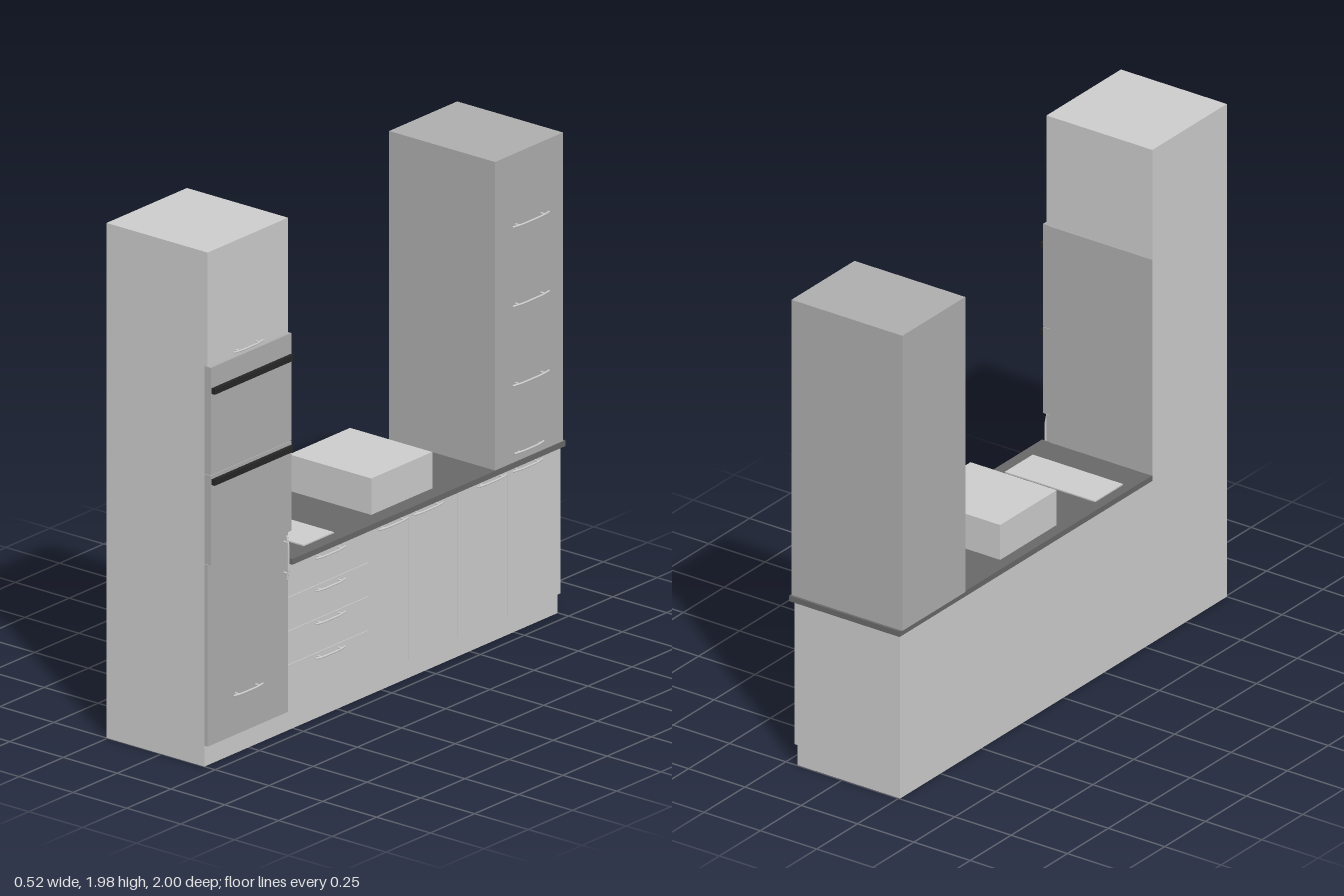
import * as THREE from 'three';

export function createModel() {
  const kitchen = new THREE.Group();
  kitchen.name = 'kitchenUnit';

  const mat = (color) => new THREE.MeshStandardMaterial({ color });
  const light = mat(0xcccccc);
  const mid = mat(0xadadad);
  const dark = mat(0x686868);
  const black = mat(0x262626);

  // Box given by its extents on each axis
  function box(name, [x0, x1], [y0, y1], [z0, z1], material = light, parent = kitchen) {
    const mesh = new THREE.Mesh(new THREE.BoxGeometry(x1 - x0, y1 - y0, z1 - z0), material);
    mesh.position.set((x0 + x1) / 2, (y0 + y1) / 2, (z0 + z1) / 2);
    mesh.name = name;
    parent.add(mesh);
    return mesh;
  }

  // Bow handle: a slightly curved bar on two posts, mounted on a front facing +x
  function handle(name, x, y, z, length = 0.16, vertical = false) {
    const group = new THREE.Group();
    group.name = name;
    const h = length / 2;
    const path = new THREE.CatmullRomCurve3([
      new THREE.Vector3(0.014, 0, -h),
      new THREE.Vector3(0.02, 0, -h * 0.6),
      new THREE.Vector3(0.021, 0, 0),
      new THREE.Vector3(0.02, 0, h * 0.6),
      new THREE.Vector3(0.014, 0, h),
    ]);
    const bar = new THREE.Mesh(new THREE.TubeGeometry(path, 12, 0.004, 8), light);
    bar.name = 'handleBar';
    group.add(bar);
    for (const s of [-1, 1]) {
      const post = new THREE.Mesh(new THREE.CylinderGeometry(0.004, 0.004, 0.02, 8), light);
      post.name = 'handlePost';
      post.rotation.z = Math.PI / 2;
      post.position.set(0.01, 0, s * h * 0.72);
      group.add(post);
      const tip = new THREE.Mesh(new THREE.SphereGeometry(0.004, 8, 6), light);
      tip.name = 'handleTip';
      tip.position.set(0.014, 0, s * h);
      group.add(tip);
    }
    if (vertical) group.rotation.x = Math.PI / 2;
    group.position.set(x, y, z);
    kitchen.add(group);
  }

  const back = -0.255, carcass = 0.2, front = 0.215, gap = 0.001;

  // Plinth and base cabinets
  box('plinth', [back, carcass], [0, 0.08], [-0.997, 1]);
  box('baseCarcass', [back, carcass], [0.08, 0.65], [-0.997, 0.545]);
  box('worktop', [back, 0.235], [0.65, 0.672], [-1, 0.545], dark);

  // Drawer stack
  const drawerEdges = [0.08, 0.26, 0.39, 0.52, 0.65];
  const drawerHandles = [0.245, 0.378, 0.505, 0.63];
  drawerHandles.forEach((y, i) => {
    box('drawerFront', [carcass, front], [drawerEdges[i] + gap, drawerEdges[i + 1] - gap], [0.09 + gap, 0.545 - gap]);
    handle('drawerHandle', front, y, 0.32);
  });

  // Base doors
  const doorEdges = [0.09, -0.135, -0.415, -0.695, -0.997];
  const doorHandles = [-0.037, -0.233, -0.595, -0.795];
  doorHandles.forEach((z, i) => {
    box('baseDoor', [carcass, front], [0.08, 0.65], [doorEdges[i + 1] + gap, doorEdges[i] - gap]);
    handle('doorHandle', front, 0.635, z);
  });

  // Inset sink and countertop box
  box('sink', [-0.215, 0.185], [0.665, 0.677], [0.25, 0.42]);
  box('countertopBox', [-0.21, 0.172], [0.672, 0.812], [-0.323, 0.022]);

  // Tall oven cabinet
  box('tallCarcass', [back, carcass], [0.08, 1.98], [0.545, 1]);
  box('tallSidePanel', [back, carcass], [0.672, 1.54], [0.542, 0.5455], mid);
  box('tallTopDoor', [carcass, front], [1.54, 1.98], [0.545, 1]);
  box('tallLowerDoor', [carcass, front], [0.08, 0.778], [0.545, 1], mid);
  box('lowerOvenDoor', [carcass, 0.23], [0.78, 1.125], [0.545, 1], mid);
  box('upperOvenDoor', [carcass, 0.23], [1.127, 1.54], [0.545, 1], mid);
  handle('tallTopHandle', front, 1.56, 0.785);
  handle('tallLowerHandle', front, 0.24, 0.785);
  handle('tallSideHandle', front, 0.682, 0.568, 0.165, true);

  // Full-width dark oven bars
  for (const y of [1.1, 1.45]) {
    box('ovenBar', [0.23, 0.245], [y - 0.011, y + 0.011], [0.55, 0.996], black);
  }

  // Stacked upper cabinets standing on the worktop
  const upperEdges = [0.672, 1.27, 1.858];
  for (let i = 0; i < 2; i++) {
    box('upperCabinet', [-0.26, 0.232], [upperEdges[i], upperEdges[i + 1]], [-0.99, -0.605], mid);
  }
  for (const y of [0.975, 1.28, 1.585]) handle('upperHandle', 0.232, y, -0.793, 0.2);
  handle('upperBottomHandle', 0.22, 0.705, -0.797);

  return kitchen;
}
